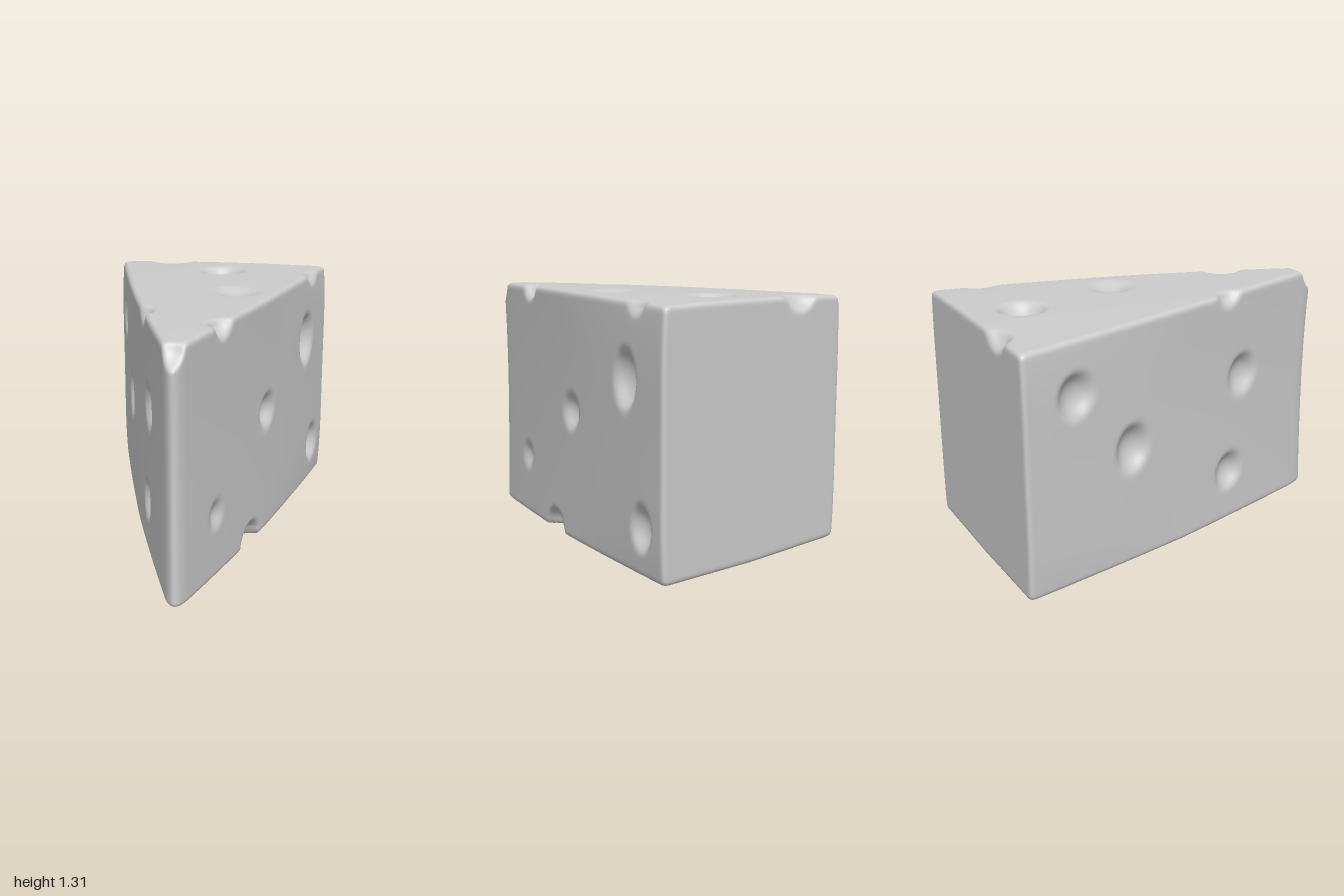
import * as THREE from 'three';
import { mergeVertices } from 'three/addons/utils/BufferGeometryUtils.js';

const HEIGHT = 1.31, TIP = 1.03, SLOPE = 0.31;
const COS = 1 / Math.hypot(1, SLOPE), SIN = SLOPE * COS;
const clamp = THREE.MathUtils.clamp;
const halfWidth = (z) => SLOPE * (TIP - z);
// The side walls swell slightly, most of all just ahead of the middle
const bulge = (z) => 0.033 * (1 - ((z - 0.2) / 1.2) ** 2);

// Rounded maximum: joins two surfaces with a soft edge
function smax(a, b, k) {
  const h = Math.max(k - Math.abs(a - b), 0) / k;
  return Math.max(a, b) + h * h * k / 4;
}

// Holes: centre x, y, z, radius, vertical stretch
const holes = [];
// A hole in a side wall (side = 1 left, -1 right): rim radius and depth give the sphere
function wallHole(side, z, y, rim, depth, stretch = 1) {
  const R = (rim * rim + depth * depth) / (2 * depth), out = R - depth;
  holes.push([side * (halfWidth(z) + bulge(z) + out * COS), y, z + out * SIN, R, stretch]);
}
wallHole(1, -0.64, 0.935, 0.107, 0.08, 1.35);
wallHole(1, -0.03, 0.69, 0.095, 0.06);
wallHole(1, 0.6, 0.34, 0.073, 0.035);
wallHole(1, -0.8, 0.25, 0.092, 0.065, 1.22);
wallHole(-1, -0.7, 1.03, 0.108, 0.06, 1.06);
wallHole(-1, -0.35, 0.655, 0.107, 0.07, 1.18);
wallHole(-1, 0.44, 0.84, 0.108, 0.06, 1.06);
wallHole(-1, 0.35, 0.3, 0.1, 0.06, 1.05);
holes.push(
  [0.03, 1.36, -0.72, 0.125, 1],    // top
  [0.17, 1.47, -0.16, 0.19, 1],     // top, shallow
  [-0.31, 1.35, -1.04, 0.125, 1],   // top back edge
  [0.6, 1.33, -0.73, 0.1, 1],       // top side edges
  [0.2, 1.33, 0.54, 0.095, 1],
  [-0.285, 1.33, 0.33, 0.09, 1],
  [0, 1.33, 1.04, 0.13, 1],         // top of the tip
  [0.3, 0, 0.19, 0.118, 1],         // bottom edge
);

// Signed field of the wedge with its holes: negative inside
function field(x, y, z) {
  const q = (y - 0.65) / 0.65, back = Math.max(0, -z);
  const tip = 1.01 + (q > 0 ? 0.03 : 0.015) * q * q;
  const shape = 0.02 * q ** 4 * back - bulge(z) * COS;
  const wall = (s) => s * x * COS + (z - tip) * SIN + shape;
  let f = smax(wall(1), wall(-1), 0.11);
  f = smax(f, -1 - z, 0.03);
  f = smax(f, y - (1.315 - 0.008 * z * z - 0.025 * x * x), 0.03);
  f = smax(f, 0.002 + 0.02 * back + 0.035 * Math.max(0, -x) - y, 0.03);
  for (const [cx, cy, cz, r, s] of holes) {
    const d = r - Math.hypot(x - cx, (y - cy) / s, z - cz);
    if (d > -0.3) f = smax(f, d, 0.024);
  }
  return f;
}

// Slide a point of the plain prism along a line from its core to the rounded, holed surface
function project(x, y, z) {
  const az = clamp(z, -0.88, 0.62), w = Math.max(halfWidth(az) - 0.125, 0);
  const ax = clamp(x, -w, w), ay = clamp(y, 0.12, HEIGHT - 0.12);
  const at = (t) => [ax + (x - ax) * t, ay + (y - ay) * t, az + (z - az) * t];
  let outer = 1.45, inner = outer;
  while (inner > 0 && field(...at(inner)) > 0) {
    outer = inner;
    inner -= 0.03;
  }
  for (let i = 0; i < 14; i++) {
    const mid = (inner + outer) / 2;
    if (field(...at(mid)) > 0) outer = mid; else inner = mid;
  }
  return at(inner);
}

export function createModel() {
  const positions = [], index = [];
  // Finer spacing towards the edges
  const ease = (t) => 0.5 * t + 0.25 * (1 - Math.cos(Math.PI * t));

  function patch(nu, nv, point) {
    const start = positions.length / 3, row = nu + 1;
    for (let j = 0; j <= nv; j++) {
      for (let i = 0; i <= nu; i++) {
        positions.push(...project(...point(ease(i / nu), ease(j / nv))));
        if (i < nu && j < nv) {
          const a = start + j * row + i;
          index.push(a, a + 1, a + row + 1, a, a + row + 1, a + row);
        }
      }
    }
  }

  const LONG = 130, TALL = 90, WIDE = 70;
  const zAt = (t) => TIP - (TIP + 1) * t;
  // Left wall, back, right wall
  patch(LONG, TALL, (u, v) => [halfWidth(zAt(u)), HEIGHT * v, zAt(u)]);
  patch(WIDE, TALL, (u, v) => [halfWidth(-1) * (1 - 2 * u), HEIGHT * v, -1]);
  patch(LONG, TALL, (u, v) => [-halfWidth(zAt(1 - u)), HEIGHT * v, zAt(1 - u)]);
  // Top and bottom
  patch(WIDE, LONG, (u, v) => [halfWidth(zAt(v)) * (2 * u - 1), HEIGHT, zAt(v)]);
  patch(WIDE, LONG, (u, v) => [halfWidth(zAt(v)) * (1 - 2 * u), 0, zAt(v)]);

  let geometry = new THREE.BufferGeometry();
  geometry.setAttribute('position', new THREE.Float32BufferAttribute(positions, 3));
  geometry.setIndex(index);
  geometry = mergeVertices(geometry, 1e-4);
  geometry.computeVertexNormals();

  const wedge = new THREE.Mesh(geometry, new THREE.MeshStandardMaterial({ color: 0xcccccc }));
  wedge.name = 'cheeseWedge';
  const group = new THREE.Group();
  group.name = 'cheese';
  group.add(wedge);
  return group;
}
